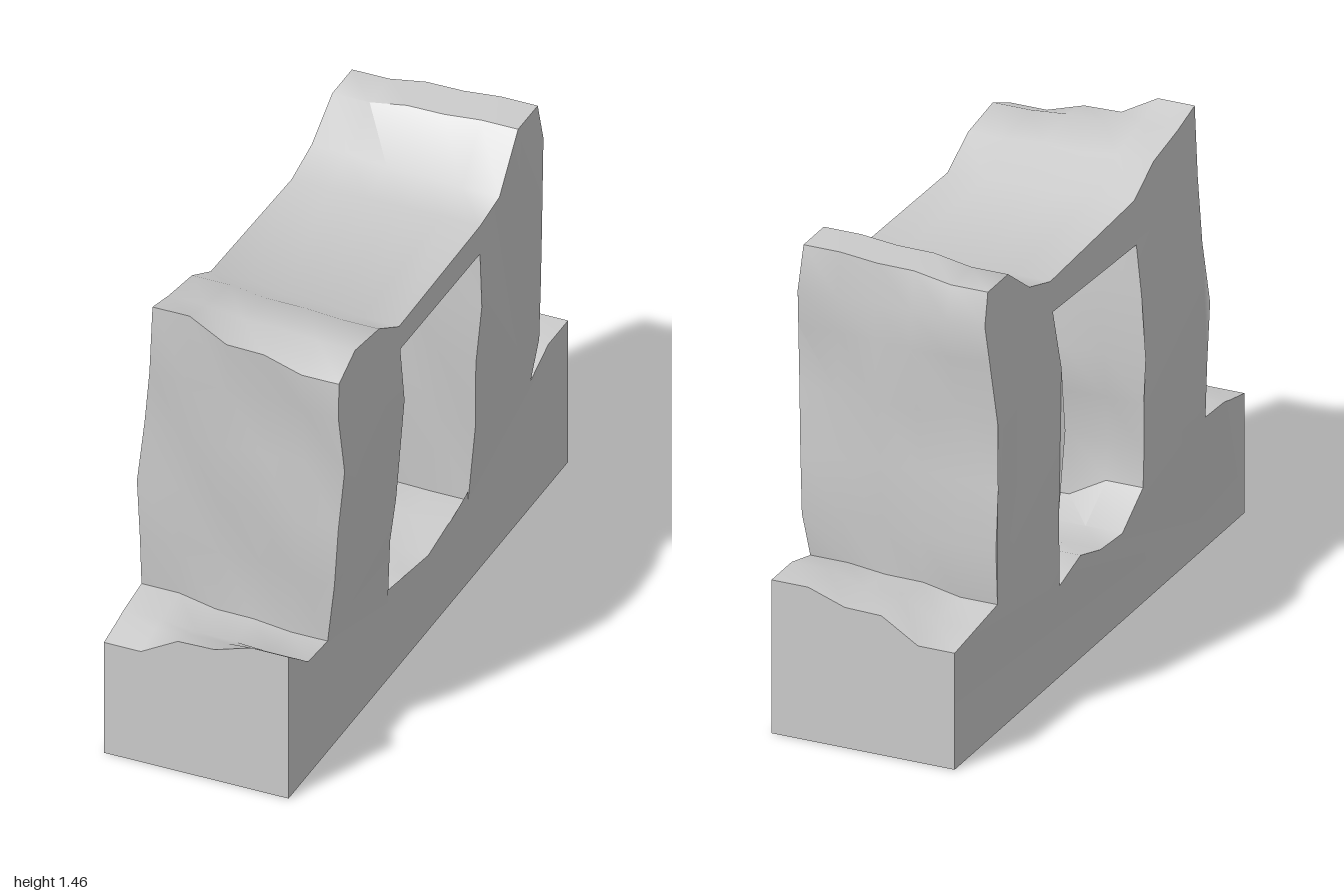
import * as THREE from 'three';
import { toCreasedNormals } from 'three/addons/utils/BufferGeometryUtils.js';

// Side outline as [z, height at the -x face, height at the +x face]; one height means a worn upright face
const outline = [
  [1, 0, 0], [-1, 0, 0],
  // rear footing
  [-1, 0.38, 0.5], [-0.86, 0.4, 0.5], [-0.715, 0.42, 0.46],
  // rear pillar and its top
  [-0.725, 0.6], [-0.715, 0.8], [-0.705, 1.0], [-0.715, 1.2], [-0.715, 1.32],
  [-0.69, 1.42, 1.455], [-0.55, 1.42, 1.455], [-0.41, 1.32, 1.3],
  // lintel
  [-0.27, 1.28, 1.28], [0.31, 1.3, 1.27],
  // front pillar and its top
  [0.45, 1.37, 1.345], [0.62, 1.4, 1.37], [0.738, 1.43, 1.32],
  [0.735, 1.2], [0.725, 1.0], [0.735, 0.8], [0.72, 0.6],
  // front footing
  [0.72, 0.43, 0.39], [0.86, 0.42, 0.4], [0.9, 0.41, 0.43], [1, 0.39, 0.5],
];
const opening = [
  [0.29, 0.38, 0.27], [0.305, 0.5], [0.285, 0.65], [0.28, 0.8], [0.3, 1.0],
  [0.305, 1.16, 1.188], [-0.265, 1.18, 1.185],
  [-0.27, 1.0], [-0.265, 0.8], [-0.28, 0.55], [-0.285, 0.3, 0.29],
  [-0.14, 0.34, 0.29], [0, 0.3, 0.265], [0.15, 0.29, 0.29],
];

// Lean of the two side faces as [height, x]
const leftLean = [[0, -0.32], [0.4, -0.325], [0.6, -0.325], [0.8, -0.333], [1, -0.318], [1.2, -0.29], [1.46, -0.28]];
const rightLean = [[0, 0.28], [0.4, 0.28], [0.6, 0.307], [0.8, 0.318], [1, 0.334], [1.2, 0.327], [1.46, 0.322]];
// Stepped blend of height across the thickness
const steps = [0, 0, 0.62, 0.65, 1, 1];

function sample(table, y) {
  for (let i = 1; i < table.length; i++) {
    const [y0, x0] = table[i - 1], [y1, x1] = table[i];
    if (y <= y1) return x0 + (x1 - x0) * (y - y0) / (y1 - y0);
  }
  return table[table.length - 1][1];
}

// A point of the outline at one of the columns across the thickness
function place([z, y0, y1], column) {
  const upright = y1 === undefined;
  const t = column / (steps.length - 1);
  const y = upright ? y0 : y0 + (y1 - y0) * steps[column];
  const leanY = Math.abs(z) > 0.8 ? 0 : y;
  const x = THREE.MathUtils.lerp(sample(leftLean, leanY), sample(rightLean, leanY), t);
  const wear = upright ? 0.012 * Math.sin(t * 7 + y * 9 + z * 3) : 0;
  return [x, y, z + wear];
}

function createWallGeometry() {
  const points = [...outline, ...opening];
  const columns = steps.length, count = points.length;
  const positions = [], indices = [];
  for (let c = 0; c < columns; c++) {
    for (const p of points) positions.push(...place(p, c));
  }

  // Worn faces running through the thickness
  const strip = (start, length) => {
    for (let c = 0; c < columns - 1; c++) {
      for (let i = 0; i < length; i++) {
        const a = c * count + start + i;
        const b = c * count + start + (i + 1) % length;
        indices.push(a, b, b + count, a, b + count, a + count);
      }
    }
  };
  strip(0, outline.length);
  strip(outline.length, opening.length);

  // The two broad side faces
  const flat = (list) => list.map(([z, y0, y1 = y0]) => new THREE.Vector2(-z, (y0 + y1) / 2));
  const last = (columns - 1) * count;
  for (const [a, b, c] of THREE.ShapeUtils.triangulateShape(flat(outline), [flat(opening)])) {
    indices.push(a + last, b + last, c + last, c, b, a);
  }

  const geometry = new THREE.BufferGeometry();
  geometry.setAttribute('position', new THREE.Float32BufferAttribute(positions, 3));
  geometry.setIndex(indices);
  return toCreasedNormals(geometry, 0.75);
}

export function createModel() {
  const group = new THREE.Group();
  group.name = 'ruinedWall';
  const wall = new THREE.Mesh(createWallGeometry(), new THREE.MeshStandardMaterial({ color: 0xcccccc }));
  wall.name = 'wallWithOpening';
  group.add(wall);
  return group;
}
